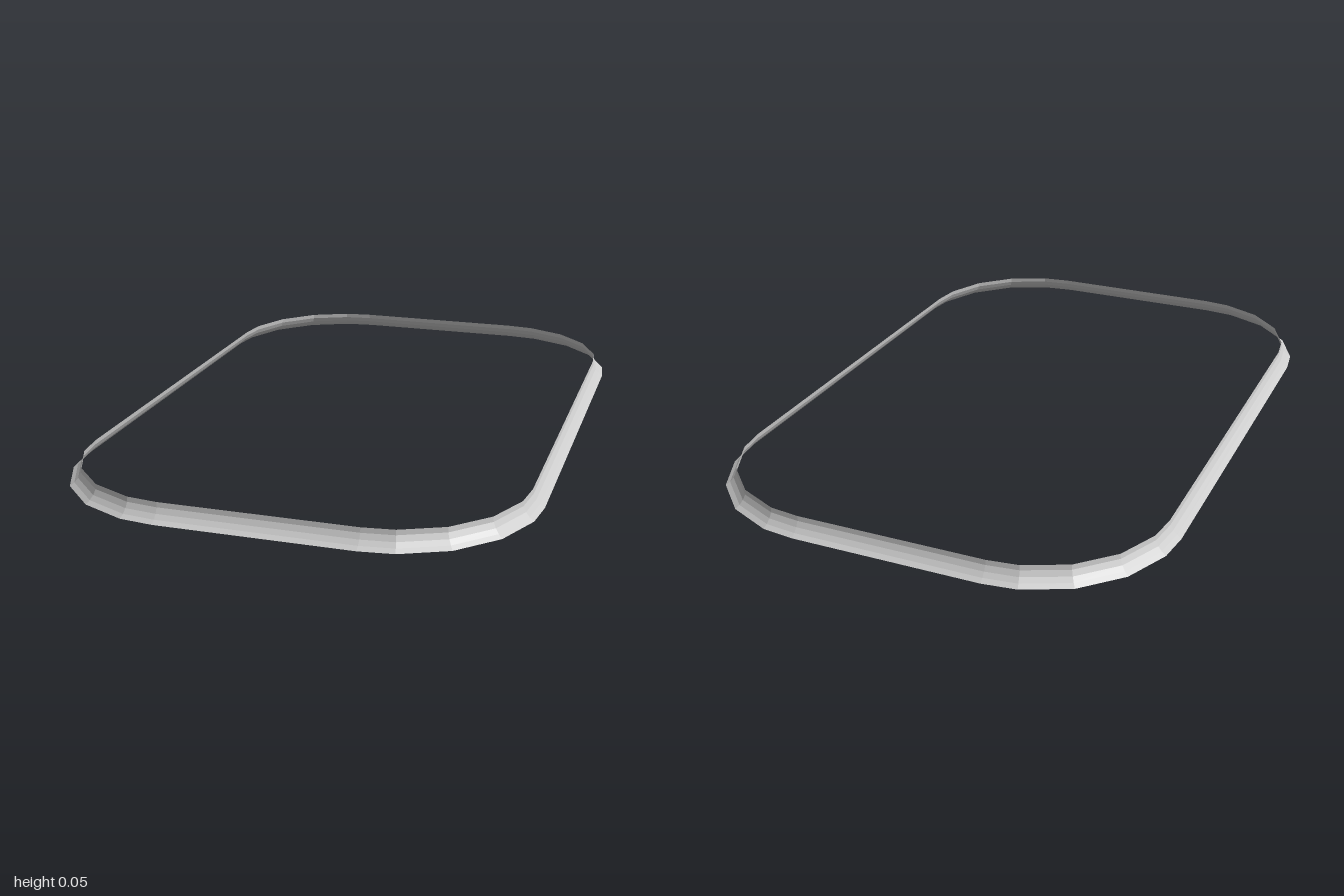
import * as THREE from 'three';

// Rounded-rectangle plan: corner centres, corner radius and facet angles
const CX = 0.275, CZ = 0.6, RADIUS = 0.4;
const CORNER_ANGLES = [0, 14, 34.5, 55.5, 76, 90];
// Concave flared section: [inset from the outer edge, height]
const PROFILE = [[0, 0], [0.013, 0.009], [0.024, 0.021], [0.032, 0.036], [0.034, 0.05]];

// One closed loop of points around the plan at a given inset and height
function ring(inset, y) {
  const points = [];
  const centres = [[1, 1], [-1, 1], [-1, -1], [1, -1]];
  centres.forEach(([sx, sz], corner) => {
    for (const deg of CORNER_ANGLES) {
      const a = THREE.MathUtils.degToRad(deg + corner * 90);
      const r = RADIUS - inset;
      points.push(sx * CX + r * Math.cos(a), y, sz * CZ + r * Math.sin(a));
    }
  });
  return points;
}

export function createModel() {
  const group = new THREE.Group();
  group.name = 'roundedFrame';

  // Skin the stacked loops into an open band
  const n = CORNER_ANGLES.length * 4;
  const positions = PROFILE.flatMap(([inset, y]) => ring(inset, y));
  const index = [];
  for (let j = 0; j < PROFILE.length - 1; j++) {
    for (let i = 0; i < n; i++) {
      const a = j * n + i, b = j * n + (i + 1) % n;
      index.push(a, a + n, b, b, a + n, b + n);
    }
  }
  const geometry = new THREE.BufferGeometry();
  geometry.setAttribute('position', new THREE.Float32BufferAttribute(positions, 3));
  geometry.setIndex(index);
  geometry.computeVertexNormals();

  const material = new THREE.MeshStandardMaterial({
    color: 0xcccccc, flatShading: true, side: THREE.DoubleSide,
  });
  const band = new THREE.Mesh(geometry, material);
  band.name = 'flaredTrim';
  group.add(band);
  return group;
}
